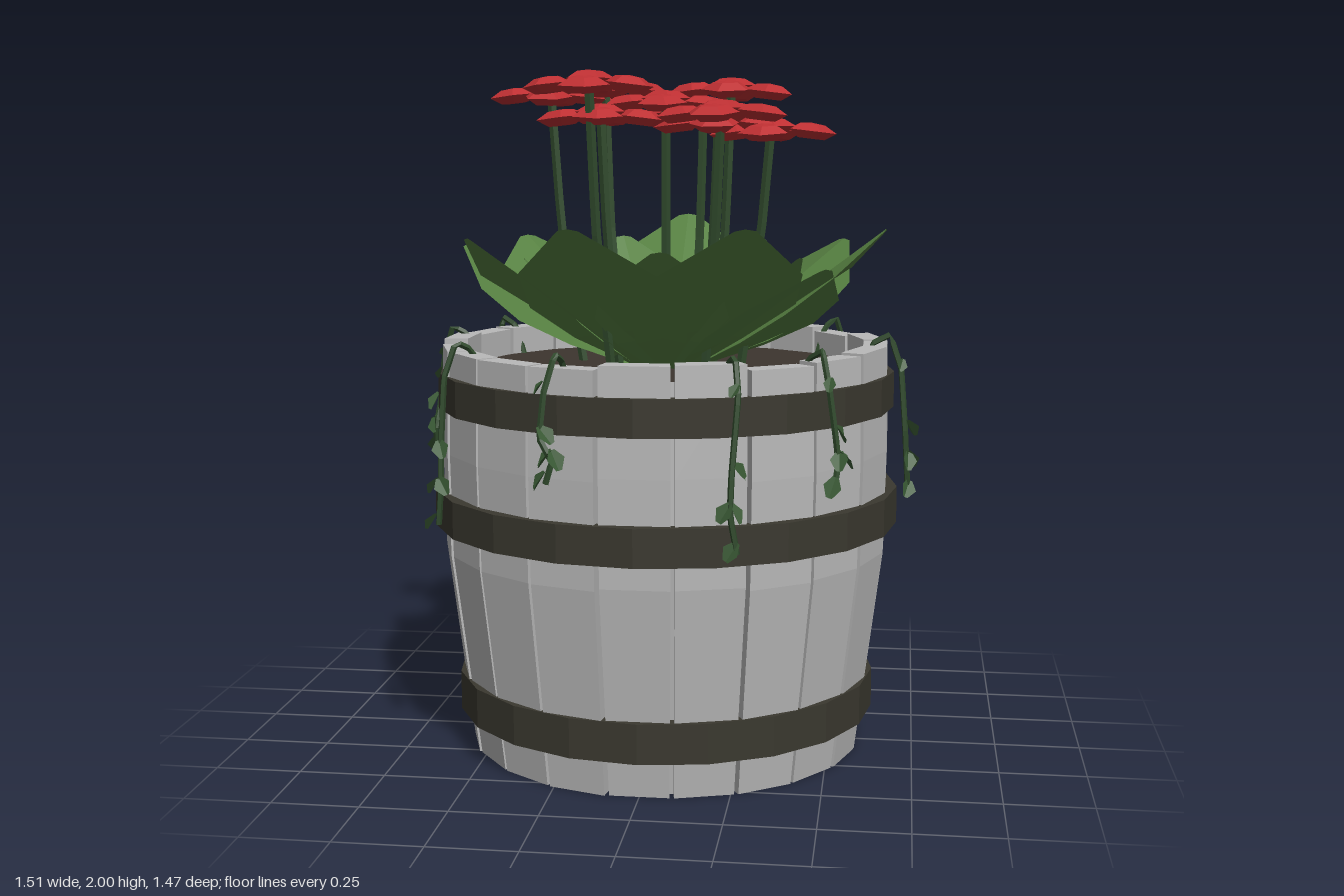
import * as THREE from 'three';
import { mergeGeometries } from 'three/addons/utils/BufferGeometryUtils.js';

const mat = (name, color, side = THREE.FrontSide) => {
  const m = new THREE.MeshStandardMaterial({ color, flatShading: true, side });
  m.name = name;
  return m;
};

export function createModel() {
  const wood = mat('grey wood', 0xb9b9b9);
  const iron = mat('dark iron', 0x3a382f);
  const earth = mat('soil', 0x3c352e);
  const leafGreen = mat('leaf green', 0x568041, THREE.DoubleSide);
  const stemGreen = mat('stem green', 0x304a2c);
  const vineGreen = mat('vine leaf green', 0x3a5a35, THREE.DoubleSide);
  const red = mat('flower red', 0xbd2f32);

  const root = new THREE.Group();
  root.name = 'barrelPlanter';
  let seed = 7;
  const rand = () => (seed = (seed * 16807) % 2147483647) / 2147483647;
  const add = (name, geo, material, parent = root) => {
    const mesh = new THREE.Mesh(geo, material);
    mesh.name = name;
    parent.add(mesh);
    return mesh;
  };
  const group = (name) => {
    const g = new THREE.Group();
    g.name = name;
    root.add(g);
    return g;
  };
  const V = (x, y, z) => new THREE.Vector3(x, y, z);
  // Straight-sided tube through a few points
  const rod = (points, radius, sides) => {
    const path = new THREE.CurvePath();
    for (let i = 1; i < points.length; i++) path.add(new THREE.LineCurve3(points[i - 1], points[i]));
    return new THREE.TubeGeometry(path, (points.length - 1) * 4, radius, sides);
  };

  // Barrel staves: boxes bent to the barrel profile
  const N = 20;
  const barrelRadius = (y) => (y < 0.68 ? 0.578 + 0.125 * y : 0.663 - 0.015 * (y - 0.68));
  const staves = group('staves');
  for (let i = 0; i < N; i++) {
    const height = i === 0 ? 1.215 : 1.195 + rand() * 0.025;
    const inset = (rand() - 0.5) * 0.006;
    const geo = new THREE.BoxGeometry(1, 1, 1, 1, 4, 1);
    const p = geo.attributes.position;
    for (let k = 0; k < p.count; k++) {
      const y = (p.getY(k) + 0.5) * height;
      const r = barrelRadius(y) + inset - (p.getZ(k) < 0 ? 0.07 : 0);
      p.setXYZ(k, Math.sign(p.getX(k)) * (r * Math.tan(Math.PI / N) - 0.006), y, r);
    }
    geo.computeVertexNormals();
    add('stave', geo, wood, staves).rotation.y = (i / N) * Math.PI * 2;
  }
  // Lining closes the gaps between staves
  add('lining', new THREE.LatheGeometry([0, 0.68, 1.17].map((y) =>
    new THREE.Vector2(barrelRadius(y) - 0.025, y)), N), wood);
  const base = add('barrelBase', new THREE.CylinderGeometry(0.53, 0.53, 0.03, N), wood);
  base.position.y = 0.025;
  const soil = add('soil', new THREE.CylinderGeometry(0.6, 0.6, 0.03, N), earth);
  soil.position.y = 1.115;

  // Iron hoops
  for (const [y0, y1, r] of [[0.11, 0.225, 0.626], [0.677, 0.785, 0.692], [1.025, 1.13, 0.678]]) {
    const section = [[r - 0.04, y0], [r, y0], [r, y1], [r - 0.04, y1]];
    add('hoop', new THREE.LatheGeometry(section.map(([a, b]) => new THREE.Vector2(a, b)), N), iron);
  }

  // Broad leaves: planes shaped with drooping sides and a raised tip
  const leaves = group('leaves');
  const widths = [0.04, 0.17, 0.24, 0.21, 0.03];
  const leaf = (angle, reach, tipY, scale) => {
    const geo = new THREE.PlaneGeometry(2, 1, 2, 4);
    const p = geo.attributes.position;
    for (let k = 0; k < p.count; k++) {
      const u = p.getX(k);
      const v = p.getY(k) + 0.5;
      const w = widths[Math.round(v * 4)] * scale;
      const y = 1.14 + (tipY - 1.14) * Math.pow(v, 0.9) - Math.abs(u) * w * 0.16;
      p.setXYZ(k, u * w, y, 0.08 + (reach - 0.08) * Math.pow(v, 0.85));
    }
    geo.computeVertexNormals();
    add('leaf', geo, leafGreen, leaves).rotation.y = THREE.MathUtils.degToRad(angle);
  };
  const outer = [[-18, 0.61, 1.57], [28, 0.6, 1.57], [57, 0.58, 1.45], [85, 0.65, 1.55], [124, 0.62, 1.5],
    [152, 0.56, 1.42], [181, 0.66, 1.56], [-130, 0.66, 1.5], [-95, 0.62, 1.49], [-57, 0.62, 1.53]];
  for (const [a, r, y] of outer) leaf(a, r, y, 1.05);
  const inner = [[5, 0.42, 1.5], [70, 0.43, 1.47], [140, 0.4, 1.5], [-155, 0.45, 1.5], [-75, 0.42, 1.46], [-112, 0.46, 1.42]];
  for (const [a, r, y] of inner) leaf(a, r, y, 0.8);

  // Flower heads: a cross of five-sided florets on a leaning stem
  const floret = new THREE.LatheGeometry([[0, -0.02], [0.042, -0.02], [0.076, 0.002], [0.04, 0.022], [0, 0.026]]
    .map(([a, b]) => new THREE.Vector2(a, b)), 5);
  const flowers = group('flowers');
  const heads = [[-0.18, 1.96, 0.29], [-0.38, 1.935, -0.2], [-0.21, 1.955, -0.19], [0.18, 1.95, -0.13],
    [0.08, 1.89, -0.27], [0.31, 1.83, 0.02], [0.18, 1.88, 0.19], [0, 1.91, 0.01], [-0.17, 1.87, 0.14], [0.16, 1.85, 0.05]];
  heads.forEach(([x, y, z]) => {
    const parts = [floret.clone().rotateY(rand()).translate(x, y + 0.012, z)];
    for (let i = 0; i < 4; i++) {
      const a = (i / 4) * Math.PI * 2 + (rand() - 0.5) * 0.2;
      parts.push(floret.clone().rotateY(rand() * 6).rotateX(0.12 * Math.cos(a)).rotateZ(-0.12 * Math.sin(a))
        .translate(x + 0.115 * Math.sin(a), y - 0.008 + rand() * 0.008, z + 0.115 * Math.cos(a)));
    }
    add('flowerHead', mergeGeometries(parts), red, flowers);
    const stem = [V(x * 0.72, 1.12, z * 0.72), V(x * 0.92, 1.55, z * 0.92), V(x, y, z)];
    add('flowerStem', rod(stem, 0.014, 5), stemGreen, flowers);
  });

  // Small folded leaf for the vines
  const vineLeaf = new THREE.PlaneGeometry(0.05, 0.06, 2, 2);
  const q = vineLeaf.attributes.position;
  for (let k = 0; k < q.count; k++) {
    const end = Math.abs(q.getY(k)) > 0.01;
    q.setX(k, q.getX(k) * (end ? 0.35 : 1));
    q.setZ(k, Math.abs(q.getX(k)) * 0.5);
  }
  vineLeaf.translate(0, -0.028, 0);

  // Vines hanging over the rim: position of the tail and its lowest height
  const vines = group('vines');
  const tails = [[-0.25, -0.67, 0.87], [0.13, -0.7, 0.8], [0.53, -0.48, 0.88], [0.72, 0.03, 0.78], [0.53, 0.5, 0.87],
    [0.28, 0.66, 0.72], [-0.24, 0.68, 0.9], [-0.6, 0.4, 0.72], [-0.73, -0.06, 0.86], [-0.62, -0.38, 0.87]];
  for (const [x, z, low] of tails) {
    const angle = Math.atan2(x, z);
    const drop = 1.14 - low;
    const sway = () => (rand() - 0.5) * 0.06;
    const pts = [V(0, 1.12, 0.58), V(0, 1.215, 0.615), V(0.005, 1.24, 0.665), V(sway() * 0.4, 1.14, 0.7),
      V(sway(), 1.14 - drop * 0.5, 0.715), V(sway(), 1.14 - drop * 0.75, 0.72), V(sway() * 0.5, low, 0.725)];
    const vine = group('vine');
    vines.add(vine);
    vine.rotation.y = angle;
    add('vineStem', rod(pts, 0.009, 5), stemGreen, vine);
    [3, 4, 5, 5, 6].forEach((n, i) => {
      const l = add('vineLeaf', vineLeaf, vineGreen, vine);
      l.position.copy(pts[n]).add(V(0, 0.03, 0.004));
      l.rotation.set(-0.4 - rand() * 0.5, (i % 2 ? 1 : -1) * 0.7, (i % 2 ? 1 : -1) * (0.5 + rand() * 0.6));
      l.scale.setScalar(n === 3 ? 0.7 : 1);
    });
  }
  return root;
}
